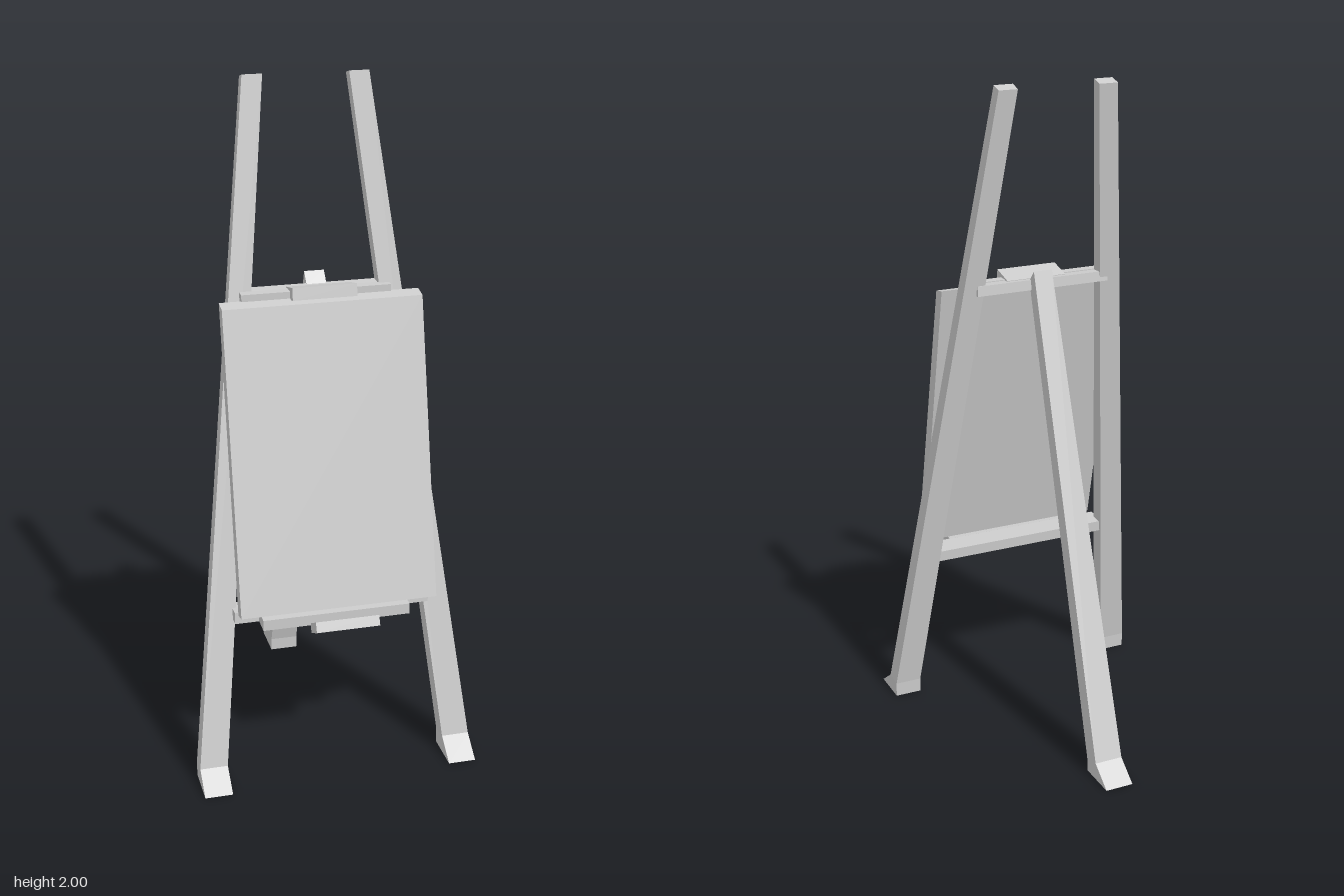
import * as THREE from 'three';

const material = new THREE.MeshStandardMaterial({ color: 0xcccccc, flatShading: true });

function addMesh(group, name, geometry) {
  const mesh = new THREE.Mesh(geometry, material);
  mesh.name = name;
  group.add(mesh);
}

// Bar running along x with a [z, y] side profile
function bar(profile, x0, x1) {
  const shape = new THREE.Shape(profile.map(([z, y]) => new THREE.Vector2(z, y)));
  const geometry = new THREE.ExtrudeGeometry(shape, { depth: x1 - x0, bevelEnabled: false });
  return geometry.rotateY(-Math.PI / 2).translate(x1, 0, 0);
}

// Four-sided leg through sections listed upwards: x range, front [z, y], back [z, y]
function loft(sections) {
  const rings = sections.map(([x0, x1, [zf, yf], [zb, yb]]) => [
    [x0, yf, zf], [x1, yf, zf], [x1, yb, zb], [x0, yb, zb],
  ]);
  const points = [];
  const quad = (a, b, c, d) => points.push(...a, ...b, ...c, ...a, ...c, ...d);
  for (let i = 0; i < rings.length - 1; i++) {
    const lo = rings[i], hi = rings[i + 1];
    for (let k = 0; k < 4; k++) {
      const n = (k + 1) % 4;
      quad(lo[k], lo[n], hi[n], hi[k]);
    }
  }
  quad(...rings[rings.length - 1]);
  quad(...[...rings[0]].reverse());
  const geometry = new THREE.BufferGeometry();
  geometry.setAttribute('position', new THREE.Float32BufferAttribute(points, 3));
  geometry.computeVertexNormals();
  return geometry;
}

export function createModel() {
  const easel = new THREE.Group();
  easel.name = 'easel';

  // Front legs with forward-flared feet, one set slightly further back
  for (const [name, side, dz] of [['leftFrontLeg', 1, 0], ['rightFrontLeg', -1, -0.013]]) {
    const section = (inner, outer, front, back) => {
      const xs = [side * inner, side * outer].sort((a, b) => a - b);
      return [...xs, front, back];
    };
    addMesh(easel, name, loft([
      section(0.33, 0.412, [0.46, 0], [0.335, 0]),
      section(0.33, 0.412, [0.388, 0.052], [0.333, 0.045]),
      section(0.122, 0.18, [0.018 + dz, 2], [-0.016 + dz, 1.99]),
    ]));
  }

  // Rear leg with a backward-flared foot
  addMesh(easel, 'rearLeg', loft([
    [-0.032, 0.054, [-0.335, 0], [-0.46, 0]],
    [-0.032, 0.054, [-0.333, 0.04], [-0.388, 0.052]],
    [-0.018, 0.04, [0.095, 1.41], [0.063, 1.445]],
  ]));

  // Leaning board
  addMesh(easel, 'board',
    bar([[0.348, 0.522], [0.39, 0.532], [0.187, 1.388], [0.145, 1.396]], -0.283, 0.297));

  // Crossbars between the legs
  addMesh(easel, 'upperCrossbar',
    bar([[0.08, 1.385], [0.122, 1.38], [0.125, 1.412], [0.083, 1.415]], -0.21, 0.21));
  addMesh(easel, 'lowerCrossbar',
    bar([[0.26, 0.485], [0.334, 0.488], [0.332, 0.522], [0.258, 0.518]], -0.29, 0.29));

  // Ledges carrying the clamps
  addMesh(easel, 'upperLedge',
    bar([[0.12, 1.383], [0.15, 1.383], [0.15, 1.415], [0.12, 1.415]], -0.22, 0.215));
  addMesh(easel, 'lowerLedge',
    bar([[0.33, 0.49], [0.393, 0.488], [0.393, 0.52], [0.33, 0.522]], -0.22, 0.215));

  // Tilted clamps above and below the board
  addMesh(easel, 'upperClamp',
    bar([[0.107, 1.38], [0.182, 1.398], [0.175, 1.433], [0.102, 1.415]], -0.08, 0.107));
  addMesh(easel, 'lowerClamp',
    bar([[0.398, 0.465], [0.46, 0.498], [0.448, 0.526], [0.388, 0.492]], -0.08, 0.107));

  return easel;
}
